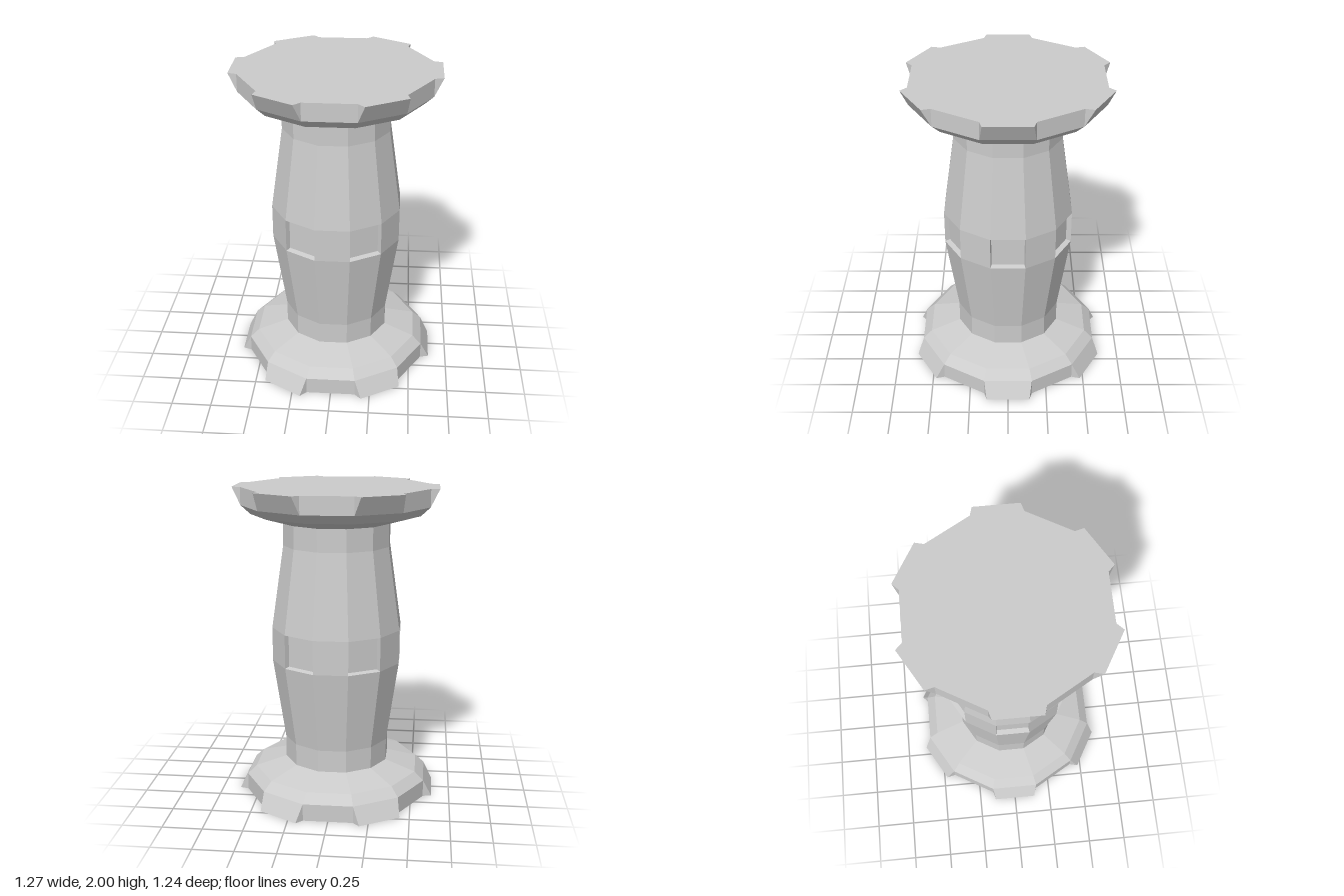
import * as THREE from 'three';

const SIDES = 12;
const HALF = Math.PI / SIDES;
const material = new THREE.MeshStandardMaterial({ color: 0xcccccc, flatShading: true });

function addMesh(parent, name, geometry) {
  const mesh = new THREE.Mesh(geometry, material);
  mesh.name = name;
  parent.add(mesh);
  return mesh;
}

// Twelve-sided shell from [apothem, y] pairs, listed bottom to top
function facetedShell(profile) {
  const points = profile.map(([a, y]) => new THREE.Vector2(a / Math.cos(HALF), y));
  const geometry = new THREE.LatheGeometry(points, SIDES, HALF).toNonIndexed();
  geometry.computeVertexNormals();
  return geometry;
}

// Flat geometry from counter-clockwise polygons (three or four corners)
function fromFaces(faces) {
  const positions = [];
  for (const f of faces) {
    for (let i = 1; i < f.length - 1; i++) positions.push(...f[0], ...f[i], ...f[i + 1]);
  }
  const geometry = new THREE.BufferGeometry();
  geometry.setAttribute('position', new THREE.Float32BufferAttribute(positions, 3));
  geometry.computeVertexNormals();
  return geometry;
}

// Rectangle facing +z, corners counter-clockwise
const rect = (w, y0, y1, z) => [[-w, y0, z], [w, y0, z], [w, y1, z], [-w, y1, z]];

// Six copies around the axis, geometry facing +z before turning
function ringOfSix(parent, name, geometry, start) {
  for (let i = 0; i < 6; i++) addMesh(parent, name, geometry).rotation.y = start + i * Math.PI / 3;
}

// Disc with a stepped shoulder and six flared teeth on its rim
function createFlange(name) {
  const flange = new THREE.Group();
  flange.name = name;
  addMesh(flange, 'flangeDisc', facetedShell([
    [0, 0], [0.58, 0], [0.58, 0.11], [0.523, 0.165], [0.33, 0.222], [0, 0.222],
  ]));

  const r = 0.58, w = r * Math.tan(HALF);
  const topL = [-w, 0.11, r], topR = [w, 0.11, r];
  const backL = [-w, 0, r], backR = [w, 0, r];
  const tipL = [-0.14, 0, 0.635], tipR = [0.14, 0, 0.635];
  const tooth = fromFaces([
    [tipL, tipR, topR, topL],
    [backL, tipL, topL],
    [tipR, backR, topR],
    [backL, backR, tipR, tipL],
  ]);
  ringOfSix(flange, 'rimTooth', tooth, Math.PI / 2);
  return flange;
}

export function createModel() {
  const model = new THREE.Group();
  model.name = 'column';

  // Flanges, the upper one turned over
  model.add(createFlange('lowerFlange'));
  const upper = createFlange('upperFlange');
  upper.rotation.z = Math.PI;
  upper.position.y = 2;
  model.add(upper);

  // Swelling shaft below and above the middle band
  const y0 = 0.892, y1 = 1.108, r = 0.405;
  addMesh(model, 'lowerShaft', facetedShell([[0.33, 0.222], [0.33, 0.365], [r, y0]]));
  addMesh(model, 'upperShaft', facetedShell([[r, y1], [0.33, 1.635], [0.33, 1.778]]));

  // Middle band: plain facets alternating with recessed panels
  const w = r * Math.tan(HALF);
  const outer = rect(w, y0, y1, r);
  const inner = rect(w - 0.006, y0 + 0.008, y1 - 0.008, r - 0.032);
  const walls = outer.map((p, i) => {
    const j = (i + 1) % 4;
    return [p, outer[j], inner[j], inner[i]];
  });
  ringOfSix(model, 'bandFacet', fromFaces([outer]), 0);
  ringOfSix(model, 'recessedPanel', fromFaces([inner, ...walls]), Math.PI / 2);

  return model;
}
